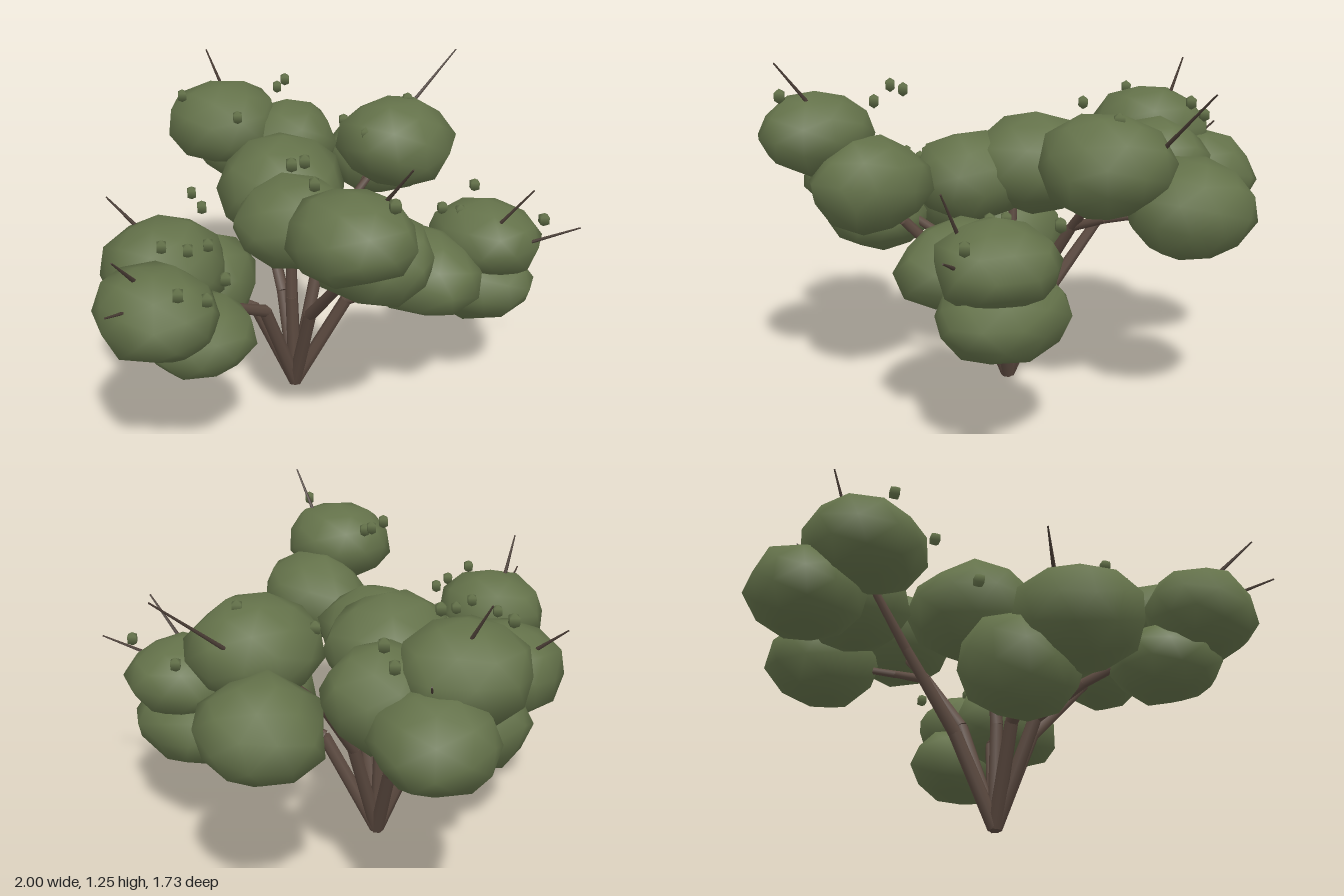
import * as THREE from 'three';
import { mergeVertices } from 'three/addons/utils/BufferGeometryUtils.js';

const mat = (name, color) => Object.assign(new THREE.MeshStandardMaterial({ color }), { name });

// Seeded generator for the irregular foliage
function seeded(seed) {
  let s = seed * 7919 + 17;
  return () => ((s = (s * 16807) % 2147483647) / 2147483647);
}

// Lumpy low-poly ball with smooth normals
function foliageGeometry(seed, rx, ry, rz) {
  const rand = seeded(seed);
  let g = new THREE.IcosahedronGeometry(1, 1);
  g.deleteAttribute('normal');
  g.deleteAttribute('uv');
  g = mergeVertices(g, 1e-3);
  for (let i = 0; i < 5; i++) rand();
  g.rotateX(rand() * 6).rotateY(rand() * 6);
  const p = g.attributes.position;
  for (let i = 0; i < p.count; i++) {
    const k = 0.94 + rand() * 0.13;
    p.setXYZ(i, p.getX(i) * k * rx, p.getY(i) * k * ry, p.getZ(i) * k * rz);
  }
  g.computeVertexNormals();
  return g;
}

// Tapered rod between two points
function rod(a, b, r0, r1, sides, material, name) {
  const from = new THREE.Vector3(...a), to = new THREE.Vector3(...b);
  const dir = to.clone().sub(from);
  const mesh = new THREE.Mesh(new THREE.CylinderGeometry(r1, r0, dir.length(), sides), material);
  mesh.position.copy(from).add(to).multiplyScalar(0.5);
  mesh.quaternion.setFromUnitVectors(new THREE.Vector3(0, 1, 0), dir.normalize());
  mesh.name = name;
  return mesh;
}

export function createModel() {
  const model = new THREE.Group();
  model.name = 'shrub';
  const leafGreen = mat('leaf green', 0x64724a);
  const bark = mat('bark brown', 0x5c4a40);
  const twigBrown = mat('twig brown', 0x4a3d35);
  const group = (name) => {
    const g = new THREE.Group();
    g.name = name;
    model.add(g);
    return g;
  };

  // Foliage clumps: centre, then radii
  const foliage = group('foliage');
  [
    [0.29, 0.93, -0.61, 0.23, 0.17, 0.23],
    [0.49, 0.77, -0.66, 0.21, 0.17, 0.22],
    [0.46, 0.84, -0.41, 0.21, 0.18, 0.2],
    [0.58, 0.92, 0.05, 0.23, 0.18, 0.23],
    [0.78, 0.76, -0.18, 0.22, 0.18, 0.22],
    [0.52, 0.66, 0.52, 0.2, 0.15, 0.22],
    [0.51, 0.48, 0.48, 0.19, 0.15, 0.26],
    [0.25, 0.58, 0.4, 0.2, 0.16, 0.25],
    [0.1, 0.83, -0.14, 0.25, 0.19, 0.24],
    [-0.05, 0.79, 0.05, 0.22, 0.17, 0.23],
    [-0.4, 0.62, -0.29, 0.24, 0.19, 0.23],
    [-0.19, 0.48, -0.31, 0.22, 0.19, 0.22],
    [-0.74, 0.69, 0.02, 0.2, 0.16, 0.23],
    [-0.58, 0.55, 0.05, 0.2, 0.14, 0.21],
    [-0.35, 0.98, 0.53, 0.2, 0.15, 0.22],
    [-0.14, 0.81, 0.46, 0.19, 0.17, 0.24],
  ].forEach(([x, y, z, rx, ry, rz], i) => {
    const clump = new THREE.Mesh(foliageGeometry(i + 1, rx, ry, rz), leafGreen);
    clump.position.set(x, y, z);
    clump.name = 'foliageClump';
    foliage.add(clump);
  });

  // Stems fan out from one root and bend outwards
  const stems = group('stems');
  const root = [0.06, 0.01, -0.04];
  [
    [[-0.02, 0.4, 0.1], [-0.12, 0.66, 0.33], [-0.32, 0.92, 0.5]],
    [[0.17, 0.4, 0.13], [0.27, 0.5, 0.32], [0.5, 0.55, 0.48]],
    [[0.2, 0.42, -0.05], [0.36, 0.65, -0.05], [0.56, 0.86, 0.02]],
    [[0.36, 0.65, -0.05], [0.5, 0.7, -0.06], [0.76, 0.76, -0.17]],
    [[0.15, 0.34, -0.18], [0.25, 0.62, -0.37], [0.32, 0.88, -0.58]],
    [[-0.11, 0.4, -0.05], [-0.3, 0.5, -0.04], [-0.7, 0.66, 0.02]],
    [[-0.06, 0.36, -0.14], [-0.2, 0.46, -0.24], [-0.38, 0.6, -0.3]],
    [[0.05, 0.4, -0.05], [0.06, 0.6, -0.06], [0.06, 0.8, -0.08]],
  ].forEach((pts, i) => {
    const path = i === 3 ? pts : [root, ...pts];
    const radii = i === 3 ? [0.018, 0.015, 0.011] : [0.028, 0.025, 0.019, 0.012];
    for (let k = 0; k < path.length - 1; k++)
      stems.add(rod(path[k], path[k + 1], radii[k], radii[k + 1], 7, bark, 'stem'));
  });

  // Bare twigs poking out of the foliage
  const twigs = group('twigs');
  [
    [[0.34, 1.0, -0.63], [0.34, 1.2, -0.75]],
    [[0.44, 0.86, -0.61], [0.54, 0.98, -0.68]],
    [[0.73, 0.96, -0.03], [1.0, 1.2, 0.05]],
    [[0.47, 0.66, 0.64], [0.62, 0.76, 0.86]],
    [[0.43, 0.71, 0.58], [0.48, 0.92, 0.73]],
    [[-0.28, 1.05, 0.57], [-0.32, 1.25, 0.73]],
    [[-0.78, 0.72, 0.0], [-1.0, 0.8, 0.07]],
    [[-0.8, 0.82, 0.0], [-0.94, 0.96, 0.05]],
    [[-0.38, 0.73, -0.43], [-0.42, 0.84, -0.56]],
  ].forEach(([a, b]) => twigs.add(rod(a, b, 0.009, 0.003, 5, twigBrown, 'twig')));

  // Small loose buds above the clumps
  const buds = group('buds');
  const budShape = new THREE.SphereGeometry(0.027, 4, 3);
  [
    [-0.35, 1.13, 0.69], [-0.29, 1.13, 0.23], [-0.22, 1.12, 0.23], [-0.28, 1.08, 0.32],
    [0.13, 1.04, -0.39], [0.12, 1.07, -0.68], [0.55, 1.07, -0.5], [0.57, 1.02, -0.56],
    [0.46, 1.0, -0.12], [0.39, 1.0, 0.04], [0.64, 1.08, 0.06], [0.58, 0.77, 0.73],
    [0.66, 0.79, 0.38], [0.43, 0.77, 0.38], [0.43, 0.78, 0.46], [-0.79, 0.83, 0.18],
    [-0.7, 0.79, 0.22], [-0.57, 0.8, 0.18], [-0.51, 0.81, -0.05], [-0.42, 0.8, -0.04],
    [-0.52, 0.79, -0.17], [-0.23, 0.82, -0.25], [-0.09, 0.78, -0.44],
  ].forEach((p) => {
    const bud = new THREE.Mesh(budShape, leafGreen);
    bud.position.set(...p);
    bud.name = 'bud';
    buds.add(bud);
  });

  return model;
}
